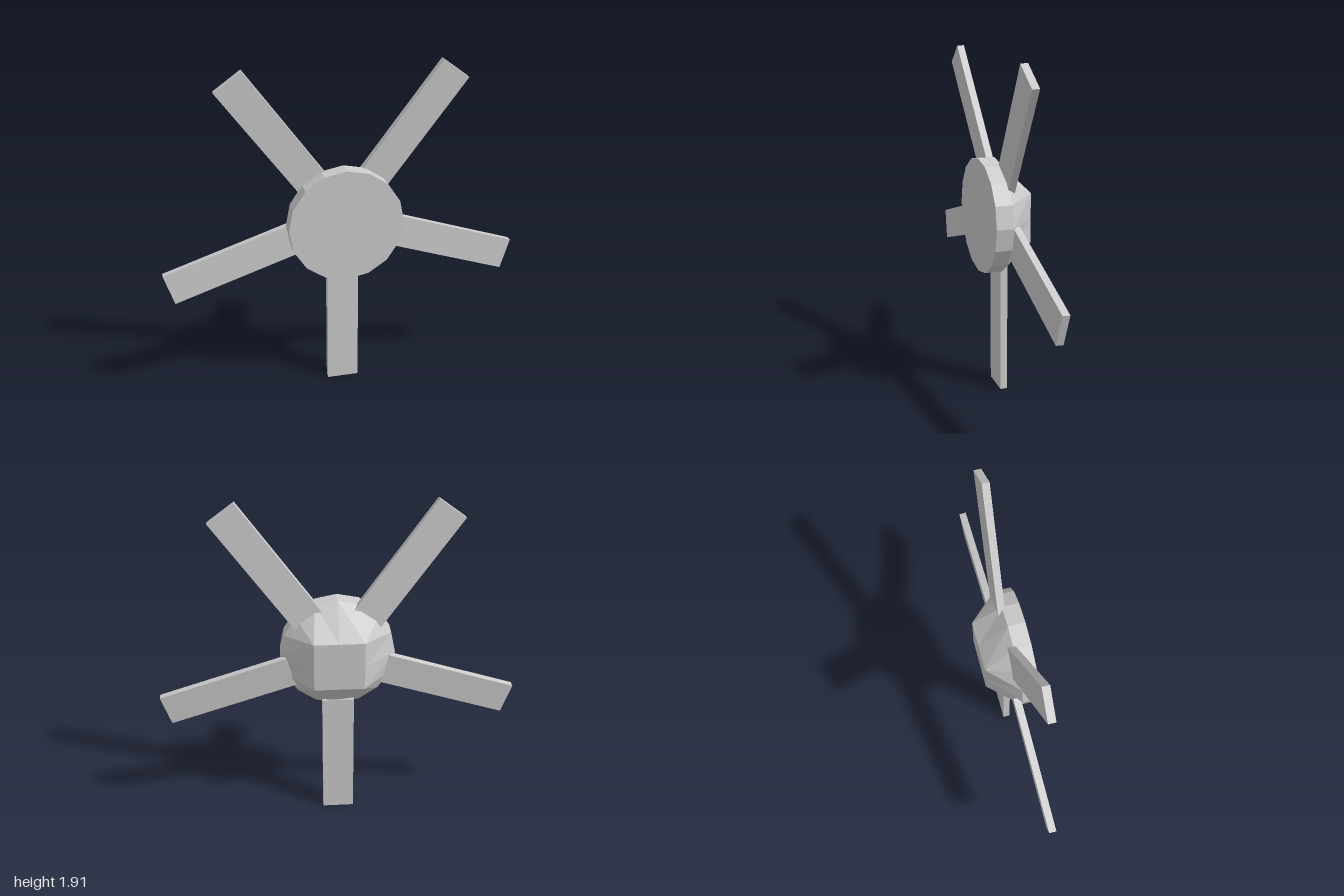
import * as THREE from 'three';

const CENTRE_Y = 1.027;
const SIDES = 16;
const material = new THREE.MeshStandardMaterial({ color: 0xcccccc, flatShading: true });

// Ring of the round drum
function roundRing(radius, z) {
  return Array.from({ length: SIDES }, (_, i) => {
    const a = (i / SIDES) * Math.PI * 2;
    return [radius * Math.cos(a), radius * Math.sin(a), z];
  });
}

// Square ring with the same point count: edge midpoints, the rest gathered at the corners
function squareRing(half, z) {
  const snap = (v) => (Math.abs(v) < 0.01 ? 0 : Math.sign(v) * half);
  return roundRing(1, z).map(([x, y]) => [snap(x), snap(y), z]);
}

// Skin a stack of rings from front to back and cap both ends
function loft(rings) {
  const pos = [];
  const tri = (a, b, c) => pos.push(...a, ...b, ...c);
  const front = rings[0];
  const back = rings[rings.length - 1];
  for (let i = 0; i < SIDES; i++) {
    const j = (i + 1) % SIDES;
    for (let k = 0; k + 1 < rings.length; k++) {
      const [a, b] = [rings[k], rings[k + 1]];
      const merged = b[i][0] === b[j][0] && b[i][1] === b[j][1];
      if (!merged) tri(a[i], b[i], b[j]);
      tri(a[i], b[j], a[j]);
    }
    tri([0, 0, front[0][2]], front[i], front[j]);
    if (back[i][0] !== back[j][0] || back[i][1] !== back[j][1]) {
      tri([0, 0, back[0][2]], back[j], back[i]);
    }
  }
  const geometry = new THREE.BufferGeometry();
  geometry.setAttribute('position', new THREE.Float32BufferAttribute(pos, 3));
  geometry.computeVertexNormals();
  return geometry;
}

export function createModel() {
  const model = new THREE.Group();
  model.name = 'fan';

  // Hub: round drum tapering to a square back
  const hub = new THREE.Mesh(
    loft([roundRing(0.322, 0.13), roundRing(0.322, 0.035), squareRing(0.14, -0.127)]),
    material
  );
  hub.name = 'hub';
  hub.position.y = CENTRE_Y;
  model.add(hub);

  // Blades: flat bars around the hub, the upper and side ones leaning slightly forward
  const inner = 0.277;
  const outer = 1.027;
  const bladeGeometry = new THREE.BoxGeometry(outer - inner, 0.18, 0.04);
  bladeGeometry.translate((inner + outer) / 2, 0, 0);
  const blades = [
    ['lowerBlade', -90, 0],
    ['leftBlade', -18, -0.047],
    ['upperLeftBlade', 54, 0.06],
    ['upperRightBlade', 126, 0.06],
    ['rightBlade', 198, -0.047],
  ];
  for (const [name, angle, lean] of blades) {
    const holder = new THREE.Group();
    holder.name = name;
    holder.position.set(0, CENTRE_Y, 0.01);
    holder.rotation.x = lean;
    const blade = new THREE.Mesh(bladeGeometry, material);
    blade.name = name + 'Bar';
    blade.rotation.z = THREE.MathUtils.degToRad(angle);
    holder.add(blade);
    model.add(holder);
  }
  return model;
}
